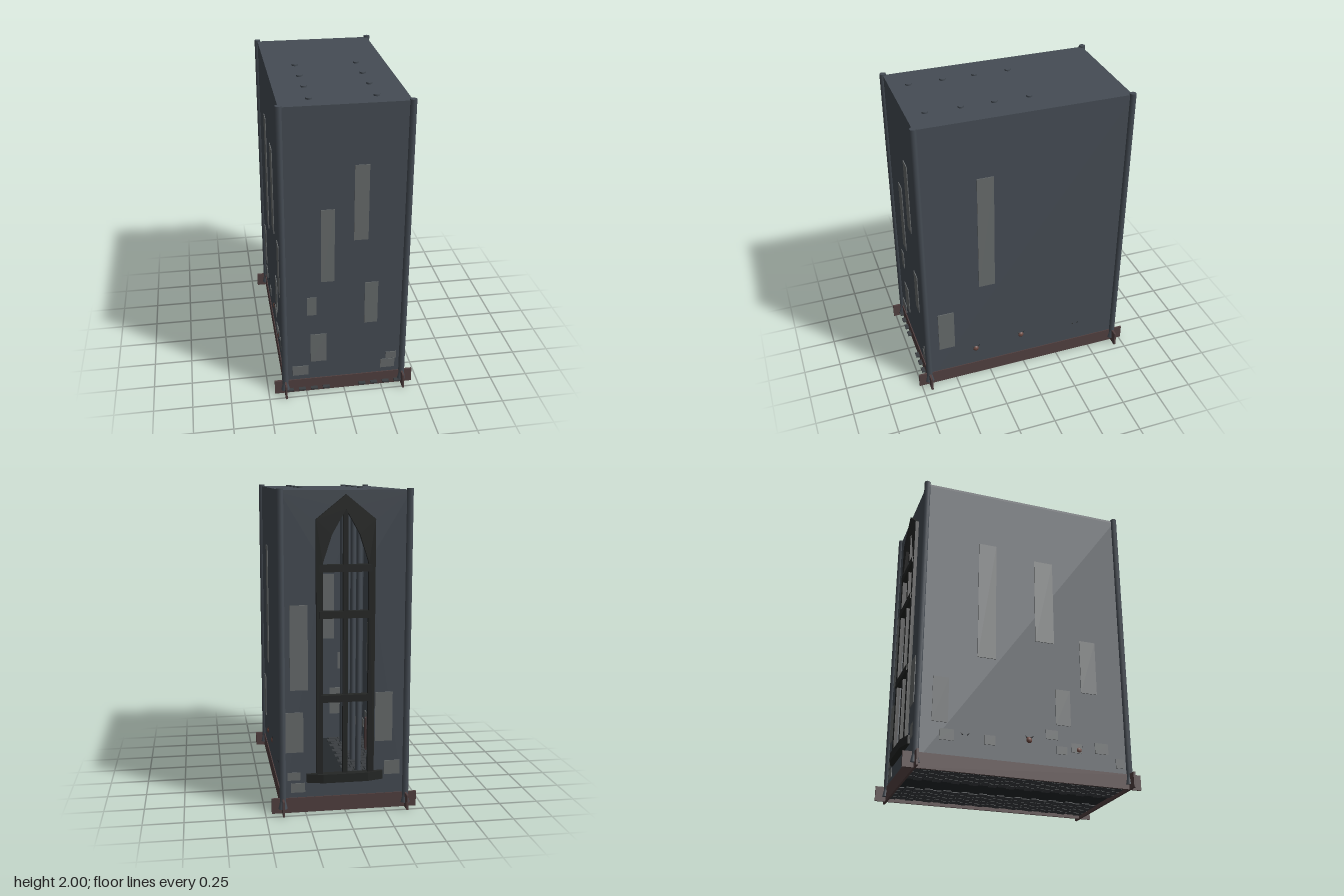
import * as THREE from 'three';
import { mergeGeometries } from 'three/addons/utils/BufferGeometryUtils.js';

const mat = (color) => new THREE.MeshStandardMaterial({ color });
const M = {
  wall: mat(0x454c54), patch: mat(0x676b6c), timber: mat(0x514040),
  iron: mat(0x242625), stone: mat(0x3a3e41), dark: mat(0x25292c), knob: mat(0x6b4840),
};
const W = 0.39, D = 0.69, H = 1.99;

export function createModel() {
  const root = new THREE.Group();
  const add = (name, geo, m, x = 0, y = 0, z = 0) => {
    const mesh = new THREE.Mesh(geo, m);
    mesh.name = name;
    mesh.position.set(x, y, z);
    root.add(mesh);
    return mesh;
  };
  const box = (name, m, x0, x1, y0, y1, z0, z1) =>
    add(name, new THREE.BoxGeometry(x1 - x0, y1 - y0, z1 - z0), m, (x0 + x1) / 2, (y0 + y1) / 2, (z0 + z1) / 2);
  const outline = (C, pts) => new C(pts.map(([x, y]) => new THREE.Vector2(x, y)));
  const plate = (shape, depth) => new THREE.ExtrudeGeometry(shape, { depth, bevelEnabled: false });

  // Walls and roof
  box('roof', M.wall, -W, W, H - 0.015, H, -D, D);
  box('frontWall', M.wall, -W, W, 0.03, H - 0.015, D - 0.015, D);
  for (const s of [-1, 1]) {
    const a = s * W, b = s * (W - 0.012);
    box('sideWall', M.wall, Math.min(a, b), Math.max(a, b), 0.03, H - 0.015, -D, D);
  }

  // Back wall with a pointed opening
  const opening = [[-0.14, 0.24], [0.14, 0.24], [0.14, 1.56], [0.085, 1.73], [0, 1.88], [-0.085, 1.73], [-0.14, 1.56]];
  const back = outline(THREE.Shape, [[-W, 0.03], [W, 0.03], [W, H - 0.015], [-W, H - 0.015]]);
  back.holes.push(outline(THREE.Path, opening));
  add('backWall', plate(back, 0.015), M.wall, 0, 0, -D);

  // Window frame, bars and sill
  const frame = outline(THREE.Shape, [[-0.18, 0.2], [0.18, 0.2], [0.18, 1.82], [0, 1.965], [-0.18, 1.82]]);
  frame.holes.push(outline(THREE.Path, opening));
  add('windowFrame', plate(frame, 0.03), M.iron, 0, 0, -0.713);
  box('windowMullion', M.iron, -0.015, 0.015, 0.22, 1.89, -0.708, -0.68);
  for (const y of [0.73, 1.25, 1.53]) box('windowBar', M.iron, -0.16, 0.16, y - 0.022, y + 0.022, -0.72, -0.68);
  const sill = outline(THREE.Shape, [[-0.24, 0.685], [0.24, 0.685], [0.24, 0.705], [0.14, 0.732], [-0.14, 0.732], [-0.24, 0.705]]);
  const sillGeo = plate(sill, 0.055);
  sillGeo.rotateX(-Math.PI / 2);
  add('windowSill', sillGeo, M.iron, 0, 0.195, 0);

  // Corner posts with spread feet
  for (const x of [-W, W]) for (const z of [-D, D]) {
    const post = new THREE.CylinderGeometry(0.021, 0.021, 1.97, 8);
    post.rotateY(Math.PI / 8);
    add('cornerPost', post, M.wall, x, 1.015, z);
    const foot = new THREE.CylinderGeometry(0.021, 0.032, 0.05, 8);
    add('postFoot', foot, M.wall, x, 0.055, z);
  }

  // Crossing base timbers
  for (const s of [-1, 1]) {
    box('endTimber', M.timber, -0.46, 0.46, 0, 0.097, s * D - 0.007, s * D + 0.007);
    box('sideTimber', M.timber, s * W - 0.006, s * W + 0.006, 0, 0.097, -0.765, 0.765);
  }

  // Floor with staggered paving either side of a plain aisle
  box('floor', M.dark, -W, W, 0.026, 0.031, -D, D);
  const stones = [];
  for (let row = 0; row < 23; row++) for (const s of [-1, 1]) for (let i = 0; i < 4; i++) {
    const g = new THREE.BoxGeometry(0.066, 0.016, 0.052);
    g.translate(s * (0.14 + i * 0.073 - (row % 2) * 0.02), 0.028, -0.66 + row * 0.06);
    stones.push(g);
  }
  for (const s of [-1, 1]) for (let i = 0; i < 4; i++) {
    const g = new THREE.BoxGeometry(0.045, 0.01, 0.05);
    g.translate(s * (0.12 + i * 0.08), 0.029, 0.697);
    stones.push(g);
  }
  add('pavingStones', mergeGeometries(stones), M.stone);

  // Inner columns whose heads show above the roof
  for (const x of [-0.2, 0.2]) for (const z of [-0.085, 0.14, 0.35, 0.57])
    add('column', new THREE.CylinderGeometry(0.02, 0.02, 1.97, 8), M.wall, x, 1.015, z);

  // Exposed stone patches: [from, to, bottom, top] along each wall
  const front = [[-0.15, -0.065, 0.83, 1.33], [0.055, 0.145, 1.11, 1.61], [-0.24, -0.18, 0.59, 0.72],
    [0.13, 0.215, 0.5, 0.8], [-0.22, -0.115, 0.23, 0.44], [-0.34, -0.235, 0.13, 0.2],
    [0.28, 0.35, 0.2, 0.25], [0.245, 0.34, 0.13, 0.195]];
  for (const [a, b, y0, y1] of front) box('frontPatch', M.patch, a, b, y0, y1, D - 0.02, D + 0.005);
  const rear = [[0.23, 0.34, 0.785, 1.31], [0.26, 0.37, 0.39, 0.645], [-0.3, -0.19, 0.44, 0.755],
    [-0.35, -0.25, 0.22, 0.31], [0.28, 0.36, 0.21, 0.26], [0.25, 0.34, 0.13, 0.19]];
  for (const [a, b, y0, y1] of rear) box('backPatch', M.patch, a, b, y0, y1, -D - 0.005, -D + 0.02);
  const left = [[0.21, 0.32, 0.76, 1.59], [0.5, 0.61, 0.29, 0.59]];
  for (const [a, b, y0, y1] of left) box('leftPatch', M.patch, W - 0.018, W + 0.005, y0, y1, a, b);
  const right = [[-0.32, -0.2, 0.76, 1.59], [0.07, 0.2, 0.93, 1.53], [0.38, 0.49, 0.61, 0.98], [0.2, 0.3, 0.37, 0.61],
    [-0.6, -0.5, 0.3, 0.59], [-0.55, -0.46, 0.19, 0.26], [-0.27, -0.2, 0.19, 0.25], [0.13, 0.21, 0.27, 0.33],
    [0.2, 0.27, 0.18, 0.23], [0.3, 0.37, 0.2, 0.26], [0.46, 0.55, 0.21, 0.28], [0.6, 0.66, 0.13, 0.19]];
  for (const [a, b, y0, y1] of right) box('rightPatch', M.patch, -W - 0.005, -W + 0.018, y0, y1, a, b);

  // Wall stands: post inside, knob and prongs reaching through the wall
  for (const s of [-1, 1]) for (const [z, y, full] of [[0.35, 0.22, true], [0.02, 0.25, true], [-0.39, 0.22, false]]) {
    if (full) {
      box('standPost', M.timber, s * 0.355 - 0.02, s * 0.355 + 0.02, 0.03, y + 0.06, z - 0.025, z + 0.025);
      add('standKnob', new THREE.SphereGeometry(0.024, 10, 8), M.knob, s * 0.378, y, z);
    }
    for (const t of [-1, 1]) {
      const prong = add('standProng', new THREE.ConeGeometry(0.007, 0.04, 6), M.dark, s * 0.387, y + 0.028, z + t * 0.028);
      prong.rotation.x = t * 0.9;
    }
  }
  return root;
}
